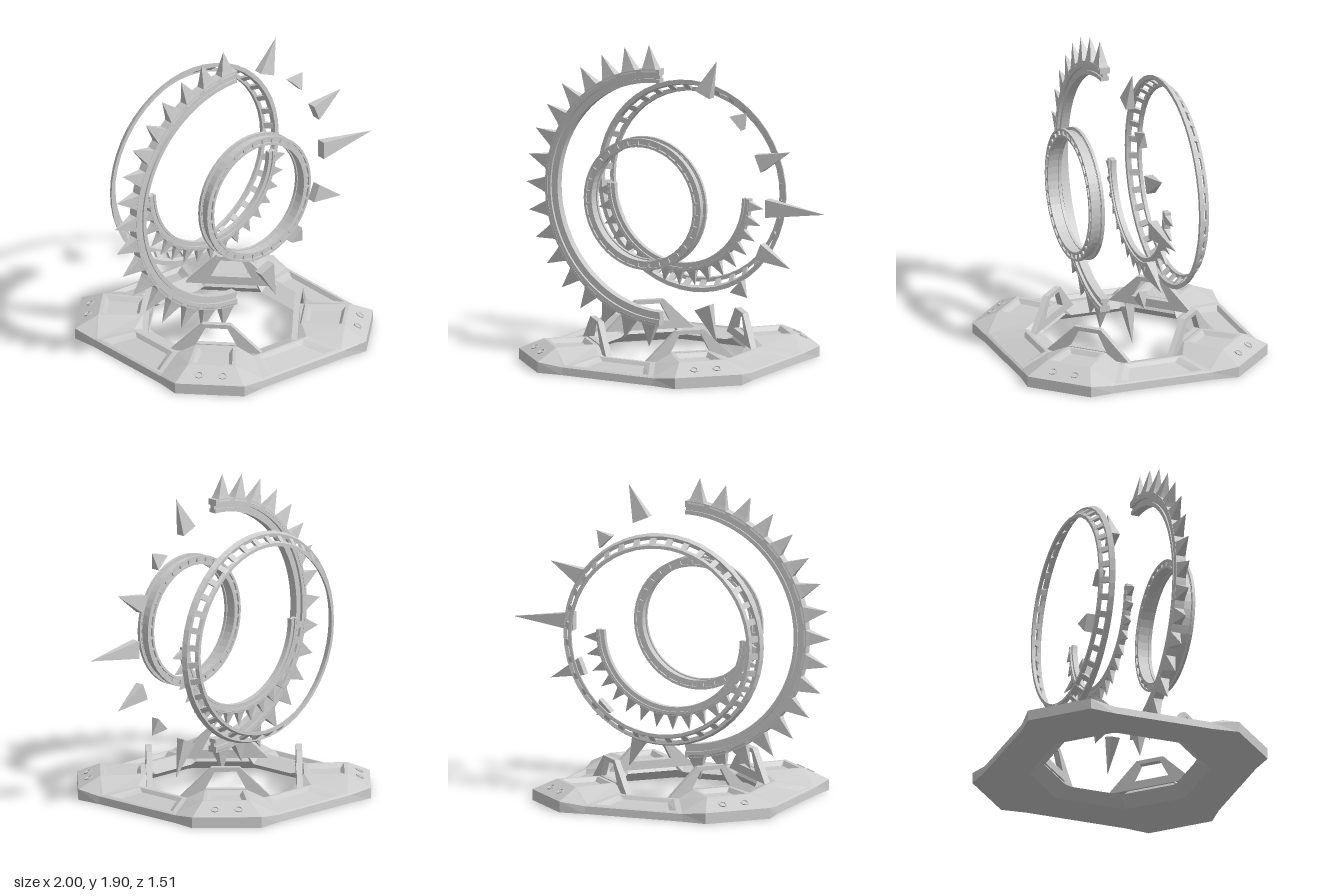
import * as THREE from 'three';
import { mergeGeometries } from 'three/addons/utils/BufferGeometryUtils.js';

const grey = new THREE.MeshStandardMaterial({ color: 0xcccccc, flatShading: true });
const CX = -0.09, CY = 0.985;

function part(name, geometry, parent) {
  const mesh = new THREE.Mesh(geometry, grey);
  mesh.name = name;
  parent.add(mesh);
  return mesh;
}

// Point from diagonal coordinates: r outwards along a corner, t across it
const diag = (r, t, y) => new THREE.Vector3((r + t) / Math.SQRT2, y, (r - t) / Math.SQRT2);

// Octagonal base lofted from cross-sections, with sunken panels
function baseGeometry() {
  const V = (x, y, z) => new THREE.Vector3(x, y, z);
  const side = [V(0.74, 0, 0.31), V(0.735, 0.045, 0.31), V(0.72, 0.053, 0.3),
    V(0.52, 0.09, 0.2), V(0.41, 0.05, 0.15), V(0.49, 0, 0.2)];
  const corner = [diag(0.863, 0.205, 0), diag(0.863, 0.205, 0.065), diag(0.73, 0.14, 0.13),
    diag(0.47, 0.12, 0.13), diag(0.424, 0.16, 0.06), diag(0.5, 0.18, 0)];
  const swap = (s) => s.map((p) => V(p.z, p.y, p.x));
  const stations = [];
  for (let k = 0; k < 4; k++) {
    for (const s of [side, corner, swap(corner), swap(side)]) {
      stations.push(s.map((p) => p.clone().applyAxisAngle(V(0, 1, 0), -k * Math.PI / 2)));
    }
  }
  const pos = [];
  const quad = (a, b, c, d) => [a, b, c, a, c, d].forEach((p) => pos.push(p.x, p.y, p.z));
  const panel = (q, inset, depth) => {
    const mid = V(0, 0, 0);
    q.forEach((p) => mid.addScaledVector(p, 0.25));
    const rim = q.map((p) => p.clone().lerp(mid, inset));
    const floor = q.map((p) => p.clone().lerp(mid, inset + 0.16).setY(p.clone().lerp(mid, inset).y - depth));
    for (let i = 0; i < 4; i++) {
      const n = (i + 1) % 4;
      quad(q[i], q[n], rim[n], rim[i]);
      quad(rim[i], rim[n], floor[n], floor[i]);
    }
    quad(...floor);
  };
  stations.forEach((s, i) => {
    const n = stations[(i + 1) % stations.length];
    for (let j = 0; j < 6; j++) {
      const m = (j + 1) % 6;
      const q = [s[j], s[m], n[m], n[j]];
      if (j === 2 && i % 4 === 3) panel(q, 0.14, 0.022);
      else if (j === 2 && i % 4 === 1) panel(q, 0.16, 0.025);
      else quad(...q);
    }
  });
  const g = new THREE.BufferGeometry();
  g.setAttribute('position', new THREE.Float32BufferAttribute(pos, 3));
  g.computeVertexNormals();
  return g;
}

// Upright trapezoid bracket with a window
function bracketGeometry() {
  const shape = new THREE.Shape([[-0.27, 0.08], [0.27, 0.08], [0.085, 0.26], [-0.085, 0.26]]
    .map((p) => new THREE.Vector2(...p)));
  shape.holes.push(new THREE.Path([[-0.12, 0.13], [-0.065, 0.235], [0.065, 0.235], [0.12, 0.13]]
    .map((p) => new THREE.Vector2(...p))));
  return new THREE.ExtrudeGeometry(shape, { depth: 0.035, bevelEnabled: false });
}

// Ring around the z axis from a closed profile of [radius, z]
function ring(profile, segments) {
  const pts = [...profile, profile[0]].map((p) => new THREE.Vector2(...p));
  return new THREE.LatheGeometry(pts, segments).rotateX(Math.PI / 2);
}
const band = (r0, r1, z0, z1, n) => ring([[r0, z0], [r1, z0], [r1, z1], [r0, z1]], n);

// Half ring on the left, as a solid strip centred on z = 0
function halfBand(r0, r1, depth) {
  const s = new THREE.Shape();
  s.absarc(0, 0, r1, Math.PI / 2, Math.PI * 1.5, false);
  s.absarc(0, 0, r0, Math.PI * 1.5, Math.PI / 2, true);
  return new THREE.ExtrudeGeometry(s, { depth, bevelEnabled: false, curveSegments: 34 })
    .translate(0, 0, -depth / 2);
}

// Four-sided spike pointing along +x; profile is [half width, radius]
function spike(profile, depthScale) {
  return new THREE.LatheGeometry(profile.map(([w, r]) => new THREE.Vector2(w * Math.SQRT2, r)), 4)
    .rotateY(Math.PI / 4).scale(1, 1, depthScale).rotateZ(-Math.PI / 2);
}

function spikedArc(name) {
  const g = new THREE.Group();
  g.name = name;
  part('outerBand', halfBand(0.735, 0.772, 0.062), g);
  part('web', halfBand(0.708, 0.74, 0.03), g);
  part('innerRail', halfBand(0.69, 0.714, 0.05), g);
  const spikes = [];
  for (let i = 0; i < 17; i++) {
    const a = Math.PI / 2 + (i + 0.5) * Math.PI / 17;
    spikes.push(spike([[0, 0.755], [0.054, 0.755], [0.038, 0.795], [0, 0.914]], 0.62).rotateZ(a));
  }
  part('spikes', mergeGeometries(spikes), g);
  return g;
}

export function createModel() {
  const model = new THREE.Group();
  model.name = 'ringShrine';

  // Base, brackets and bolts
  const base = new THREE.Group();
  base.name = 'base';
  base.position.x = CX;
  model.add(base);
  part('octagonFrame', baseGeometry(), base);
  const boltShape = [[0, -0.01], [0.026, -0.01], [0.026, 0.005], [0.019, 0.005], [0.016, -0.002], [0, -0.002]]
    .map((p) => new THREE.Vector2(...p));
  for (let k = 0; k < 4; k++) {
    const corner = new THREE.Group();
    corner.name = 'corner';
    corner.rotation.y = Math.PI / 4 + k * Math.PI / 2;
    base.add(corner);
    part('bracket', bracketGeometry(), corner).position.z = 0.425;
    for (const t of [-0.07, 0.07]) {
      const bolt = part('bolt', new THREE.LatheGeometry(boltShape, 8), corner);
      bolt.position.set(t, 0.097, 0.8);
      bolt.rotation.x = 0.455;
    }
  }

  const rings = new THREE.Group();
  rings.name = 'rings';
  rings.position.set(CX, CY, 0);
  model.add(rings);

  // Large conical ladder ring at the back
  const ladder = new THREE.Group();
  ladder.name = 'ladderRing';
  rings.add(ladder);
  part('frontRim', ring([[0.603, -0.295], [0.625, -0.298], [0.638, -0.268], [0.612, -0.268]], 48), ladder);
  part('backRim', ring([[0.558, -0.345], [0.577, -0.345], [0.586, -0.325], [0.562, -0.325]], 48), ladder);
  const rungs = [];
  for (let i = 0; i < 36; i++) {
    rungs.push(new THREE.BoxGeometry(0.078, 0.036, 0.016).rotateY(-0.9)
      .translate(0.594, 0, -0.309).rotateZ((i + 0.5) * Math.PI / 18));
  }
  part('rungs', mergeGeometries(rungs), ladder);

  // Small spool ring at the front, slotted on both faces
  const spool = new THREE.Group();
  spool.name = 'spoolRing';
  spool.position.z = 0.284;
  rings.add(spool);
  part('core', band(0.35, 0.378, -0.03, 0.03, 48), spool);
  const bars = [];
  for (const s of [-1, 1]) {
    const z0 = s > 0 ? 0.024 : -0.042, z1 = z0 + 0.018;
    part('outerFlange', band(0.382, 0.396, z0, z1, 48), spool);
    part('flangeFoot', band(0.37, 0.384, s * 0.026 - 0.004, s * 0.026 + 0.004, 48), spool);
    part('innerFlange', band(0.343, 0.357, z0, z1, 48), spool);
    for (let i = 0; i < 32; i++) {
      bars.push(new THREE.BoxGeometry(0.036, 0.016, 0.016)
        .translate(0.369, 0, s * 0.033).rotateZ((i + 0.5) * Math.PI / 16));
    }
  }
  part('slotBars', mergeGeometries(bars), spool);

  // Spiked half rings: large on the right, small one underneath
  const bigArc = spikedArc('largeSpikedArc');
  bigArc.position.z = 0.095;
  const smallArc = spikedArc('smallSpikedArc');
  smallArc.scale.setScalar(0.625);
  smallArc.rotation.z = Math.PI / 2;
  smallArc.position.z = -0.122;
  rings.add(bigArc, smallArc);

  // Floating shards fanned out on the left
  const tips = [0.919, 0.787, 0.919, 1.085, 0.919, 0.787, 0.919];
  tips.forEach((tip, i) => {
    const shard = part('floatingShard', spike([[0, 0.695], [0.054, 0.695], [0, tip]], 0.52), rings);
    shard.rotation.z = (i - 3) * Math.PI / 8;
    shard.position.z = 0.053;
  });
  return model;
}
